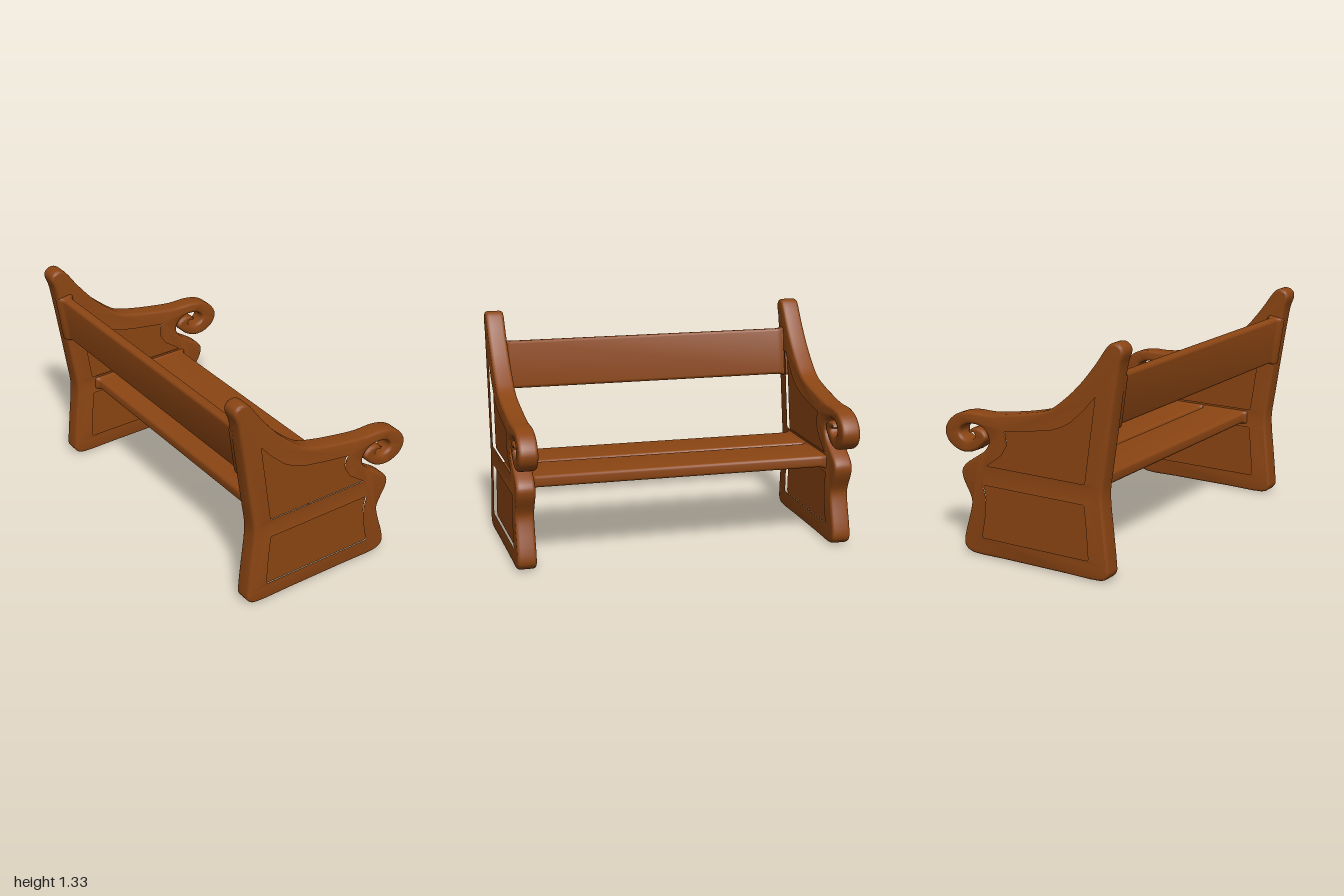
import * as THREE from 'three';
import { toCreasedNormals } from 'three/addons/utils/BufferGeometryUtils.js';

const wood = new THREE.MeshStandardMaterial({ color: 0x8b4513 });
const END_Z = 0.945, THICK = 0.11, ROUND = 0.02;

// Points given as flat x, y pairs
const pts = (a) => {
  const out = [];
  for (let i = 0; i < a.length; i += 2) out.push(new THREE.Vector2(a[i], a[i + 1]));
  return out;
};

// Body silhouette: up the back edge, down the arm rest
const backAndArm = pts([
  -0.44, 0, -0.475, 0.01, -0.5, 0.04, -0.5, 0.08, -0.48, 0.28, -0.465, 0.42, -0.463, 0.5,
  -0.48, 0.62, -0.565, 1.16, -0.578, 1.22, -0.598, 1.28, -0.588, 1.312, -0.555, 1.33,
  -0.52, 1.325, -0.492, 1.3, -0.42, 1.2, -0.31, 1.07, -0.205, 0.975, -0.12, 0.915, 0, 0.88,
  0.145, 0.852, 0.3, 0.83, 0.42, 0.829,
]);
// Scroll: round the outside, in to the curl's tip and back out along the gap
const scroll = pts([
  0.515, 0.805, 0.575, 0.755, 0.597, 0.7, 0.575, 0.64, 0.52, 0.602, 0.46, 0.59, 0.395, 0.605,
  0.335, 0.65, 0.303, 0.695, 0.325, 0.728, 0.37, 0.744, 0.41, 0.735, 0.43, 0.712,
  0.403, 0.714, 0.384, 0.695, 0.4, 0.675, 0.44, 0.666, 0.478, 0.678, 0.492, 0.705,
  0.475, 0.738, 0.425, 0.758, 0.37, 0.76, 0.32, 0.742, 0.292, 0.7, 0.293, 0.66,
]);
// Front edge below the scroll
const frontEdge = pts([
  0.325, 0.615, 0.39, 0.57, 0.46, 0.52, 0.484, 0.48, 0.475, 0.43, 0.432, 0.35, 0.42, 0.31,
  0.433, 0.24, 0.474, 0.1, 0.477, 0.045, 0.455, 0.015, 0.41, 0, 0.2, 0, -0.2, 0,
]);

// Recessed fields of the end panel
const upperField = pts([
  -0.445, 1.05, -0.435, 1.06, -0.347, 0.96, -0.26, 0.88, -0.2, 0.845, -0.135, 0.82, 0.005, 0.793,
  0.19, 0.765, 0.2, 0.755, 0.178, 0.725, 0.175, 0.675, 0.21, 0.62, 0.335, 0.53, 0.33, 0.52,
  -0.355, 0.52, -0.37, 0.535,
]);
const lowerField = pts([
  -0.365, 0.42, -0.35, 0.433, 0.335, 0.433, 0.348, 0.42, 0.332, 0.36, 0.327, 0.3, 0.335, 0.23,
  0.36, 0.105, 0.35, 0.09, -0.375, 0.09, -0.39, 0.11, -0.38, 0.27,
]);

function add(parent, geometry, name) {
  const mesh = new THREE.Mesh(geometry, wood);
  mesh.name = name;
  parent.add(mesh);
  return mesh;
}

function extrude(shape, thickness, round) {
  const depth = thickness - 2 * round;
  const g = new THREE.ExtrudeGeometry(shape, {
    depth, curveSegments: 12, bevelEnabled: round > 0, bevelThickness: round,
    bevelSize: 0.015, bevelOffset: -0.015, bevelSegments: 3,
  });
  g.translate(0, 0, -depth / 2);
  return toCreasedNormals(g, 0.7);
}

function frameShape() {
  const loop = [...backAndArm, ...scroll, ...frontEdge].map((p) => new THREE.Vector3(p.x, p.y, 0));
  const curve = new THREE.CatmullRomCurve3(loop, true, 'centripetal');
  const outline = curve.getPoints(loop.length * 3).slice(0, -1);
  const shape = new THREE.Shape(outline.map((p) => new THREE.Vector2(p.x, p.y)));
  shape.holes.push(new THREE.Path(upperField), new THREE.Path(lowerField));
  return shape;
}

// Rounded rectangular board along z whose ends flare out into the panels
function slat(width, height) {
  const stations = [[-0.925, 0.022], [-0.889, 0.018], [-0.878, 0.007], [-0.855, 0],
    [0.855, 0], [0.878, 0.007], [0.889, 0.018], [0.925, 0.022]];
  const r = 0.018, steps = 4, position = [], index = [];
  const n = 4 * (steps + 1);
  for (const [z, flare] of stations) {
    for (let c = 0; c < 4; c++) {
      const sx = c === 0 || c === 3 ? 1 : -1, sy = c < 2 ? 1 : -1;
      for (let s = 0; s <= steps; s++) {
        const a = (c + s / steps) * Math.PI / 2;
        position.push(sx * (width / 2 + flare - r) + r * Math.cos(a),
          sy * (height / 2 + flare * 0.4 - r) + r * Math.sin(a), z);
      }
    }
  }
  for (let i = 0; i < stations.length - 1; i++) {
    for (let j = 0; j < n; j++) {
      const a = i * n + j, b = i * n + (j + 1) % n;
      index.push(a, b, b + n, a, b + n, a + n);
    }
  }
  const g = new THREE.BufferGeometry();
  g.setAttribute('position', new THREE.Float32BufferAttribute(position, 3));
  g.setIndex(index);
  return toCreasedNormals(g, 0.7);
}

export function createModel() {
  const bench = new THREE.Group();
  bench.name = 'bench';

  // Two matching end panels: a rounded frame with thinner fields inside
  const frame = extrude(frameShape(), THICK, ROUND);
  const fields = [upperField, lowerField].map((f) => extrude(new THREE.Shape(f), THICK - 2 * ROUND, 0));
  for (const side of [1, -1]) {
    const end = new THREE.Group();
    end.name = side > 0 ? 'frontEndPanel' : 'rearEndPanel';
    add(end, frame, 'scrolledFrame');
    add(end, fields[0], 'upperRecessedField');
    add(end, fields[1], 'lowerRecessedField');
    end.position.z = side * END_Z;
    bench.add(end);
  }

  // Seat boards
  add(bench, slat(0.295, 0.07), 'rearSeatBoard').position.set(-0.17, 0.48, 0);
  add(bench, slat(0.325, 0.07), 'frontSeatBoard').position.set(0.16, 0.48, 0);

  // Back rest board, leaning with the end panels
  const back = add(bench, slat(0.058, 0.29), 'backRestBoard');
  back.position.set(-0.495, 1.005, 0);
  back.rotation.z = 0.14;

  return bench;
}
